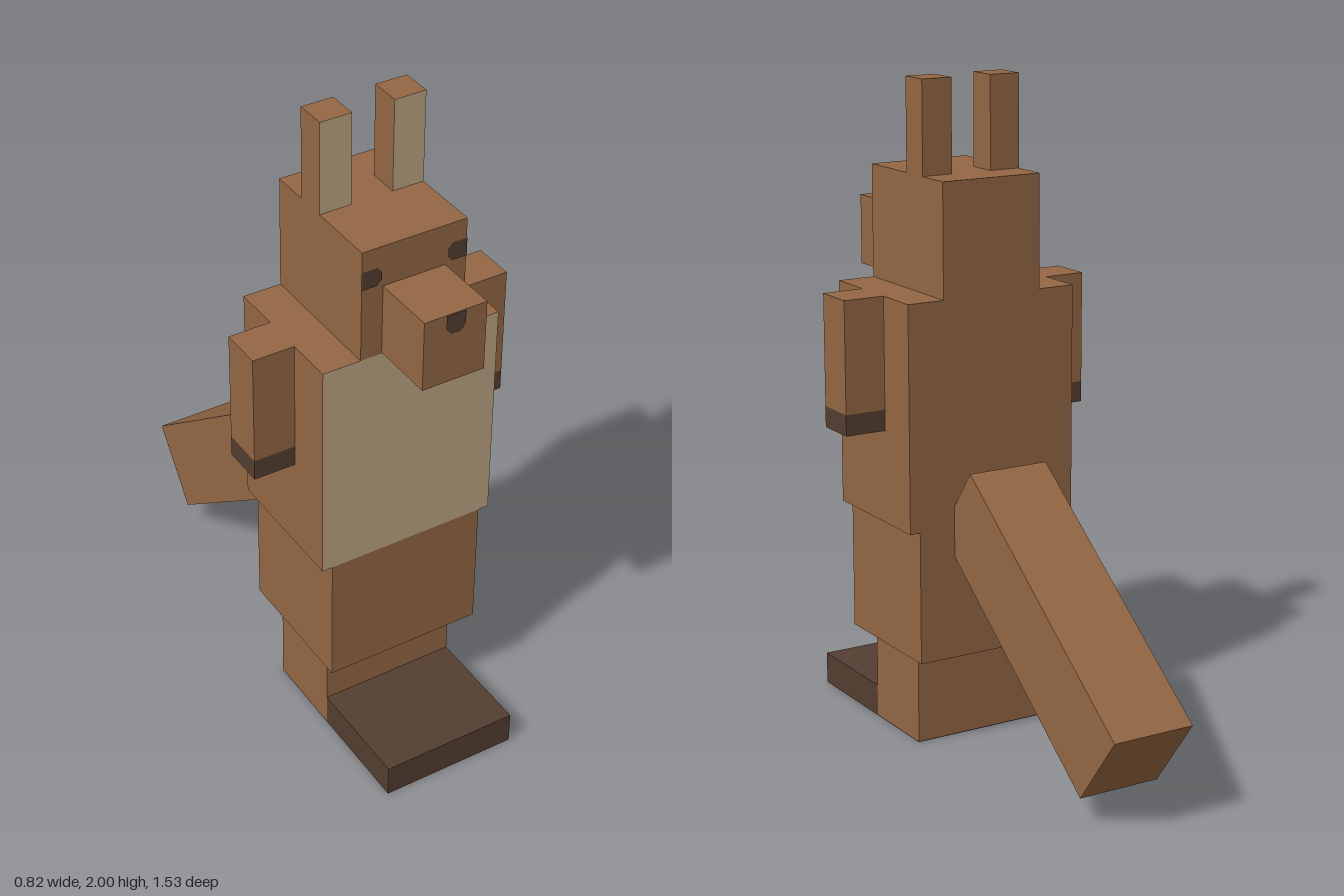
import * as THREE from 'three';

const flat = (name, color) => {
  const m = new THREE.MeshStandardMaterial({ color });
  m.name = name;
  return m;
};

export function createModel() {
  const fur = flat('brown fur', 0x946744);
  const pale = flat('pale fur', 0xc0a684);
  const dark = flat('dark brown', 0x543e31);
  const paleFront = [fur, fur, fur, fur, pale, fur]; // only the +z face is pale

  const model = new THREE.Group();
  model.name = 'kangaroo';

  // Box given by its limits on each axis
  const box = (name, material, [x0, x1], [y0, y1], [z0, z1]) => {
    const mesh = new THREE.Mesh(new THREE.BoxGeometry(x1 - x0, y1 - y0, z1 - z0), material);
    mesh.position.set((x0 + x1) / 2, (y0 + y1) / 2, (z0 + z1) / 2);
    mesh.name = name;
    model.add(mesh);
    return mesh;
  };
  // Thin painted marking facing +z
  const marking = (name, points, x, y, z) => {
    const shape = new THREE.Shape(points.map(([px, py]) => new THREE.Vector2(px, py)));
    const mesh = new THREE.Mesh(new THREE.ShapeGeometry(shape), dark);
    mesh.position.set(x, y, z);
    mesh.name = name;
    model.add(mesh);
  };

  // Body and head
  const depth = [0.085, 0.507];
  box('torso', paleFront, [-0.28, 0.28], [0.69, 1.377], depth);
  box('hips', fur, [-0.247, 0.247], [0.283, 0.69], depth);
  box('head', fur, [-0.163, 0.163], [1.377, 1.72], depth);
  box('snout', fur, [-0.097, 0.097], [1.38, 1.595], [0.507, 0.705]);

  // Legs and feet, with the sole running back under the legs
  box('legs', fur, [-0.213, 0.213], [0.003, 0.283], [0.165, 0.425]);
  box('sole', dark, [-0.213, 0.213], [0, 0.003], [0.165, 0.425]);
  box('feet', dark, [-0.213, 0.213], [0, 0.1], [0.425, 0.768]);

  // Ears, arms, hands and eyes on both sides
  for (const [side, s] of [['left', 1], ['right', -1]]) {
    const span = (a, b) => (s > 0 ? [a, b] : [-b, -a]);
    box(side + 'Ear', paleFront, span(0.065, 0.163), [1.72, 2], [0.2, 0.295]);
    box(side + 'Arm', fur, span(0.28, 0.409), [1.037, 1.377], [0.23, 0.36]);
    box(side + 'Hand', dark, span(0.28, 0.409), [0.973, 1.037], [0.23, 0.36]);
    const eye = [[-0.03, -0.012], [-0.015, -0.028], [0.03, -0.028],
      [0.03, 0.028], [-0.015, 0.028], [-0.03, 0.012]];
    const eyePoints = s > 0 ? eye : eye.map(([x, y]) => [-x, y]).reverse();
    marking(side + 'Eye', eyePoints, s * 0.133, 1.632, 0.51);
  }

  // Nose
  marking('nose', [[-0.03, 0.03], [-0.03, -0.012], [-0.015, -0.03],
    [0.015, -0.03], [0.03, -0.012], [0.03, 0.03]], 0, 1.565, 0.708);

  // Tail sloping down to the back
  const tail = box('tail', fur, [-0.13, 0.13], [0.34, 0.615], [-0.779, 0.174]);
  tail.rotation.x = -0.648;

  return model;
}
